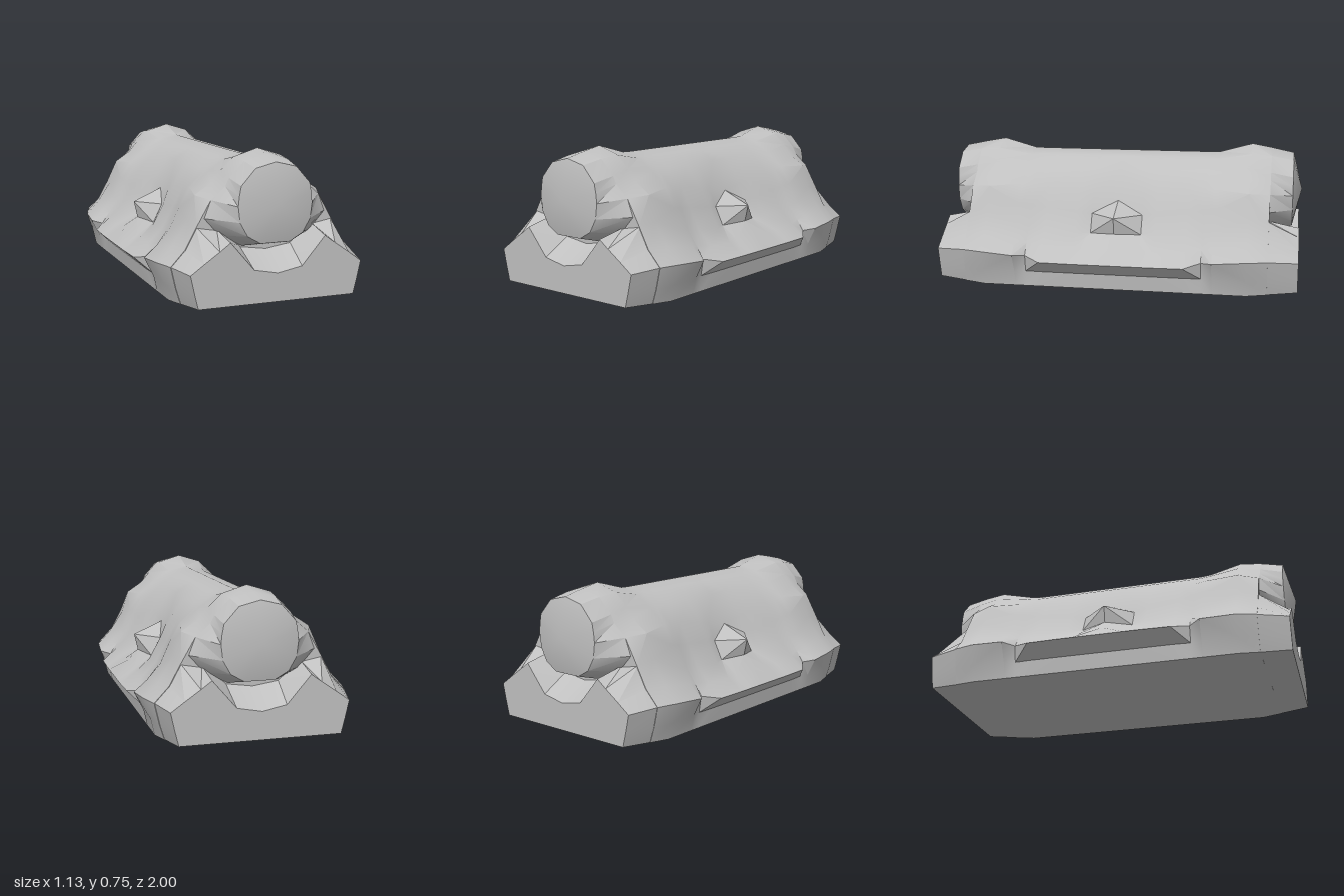
import * as THREE from 'three';
import { toCreasedNormals } from 'three/addons/utils/BufferGeometryUtils.js';

// Lofts mirrored half-profiles (top centre round to the bottom edge) along z,
// closing each end with a fan to a centre point [y, z].
// rows: [z, [[x, y], ...]] in ascending z.
function loft(rows, startCap, endCap) {
  const rings = rows.map(([z, half]) => {
    const right = half.map(([x, y]) => [x, y, z]);
    const left = half.slice(1).reverse().map(([x, y]) => [-x, y, z]);
    return [...right, ...left];
  });
  const pos = [];
  const tri = (...pts) => pts.forEach((p) => pos.push(...p));
  const n = rings[0].length;
  const first = rings[0];
  const last = rings[rings.length - 1];
  for (let j = 0; j < n; j++) {
    const k = (j + 1) % n;
    for (let i = 0; i < rings.length - 1; i++) {
      const a = rings[i], b = rings[i + 1];
      // Diagonals mirror across x = 0 and z = 0
      if ((a[0][2] + b[0][2] < 0) !== (j > (n - 1) / 2)) {
        tri(a[j], b[j], a[k]);
        tri(b[j], b[k], a[k]);
      } else {
        tri(a[j], b[j], b[k]);
        tri(a[j], b[k], a[k]);
      }
    }
    tri([0, ...startCap], first[j], first[k]);
    tri([0, ...endCap], last[k], last[j]);
  }
  const geo = new THREE.BufferGeometry();
  geo.setAttribute('position', new THREE.Float32BufferAttribute(pos, 3));
  return toCreasedNormals(geo, 0.5);
}

export function createModel() {
  const group = new THREE.Group();
  const stone = new THREE.MeshStandardMaterial({ color: 0xc0c0c0 });
  stone.name = 'pale grey';

  const add = (parent, geo, name) => {
    const mesh = new THREE.Mesh(geo, stone);
    mesh.name = name;
    parent.add(mesh);
  };

  // Body sections from the middle to one end, each sharing the same ridge lines
  const ridge = [[0, 0.703], [0.1, 0.68], [0.19, 0.62]];
  const skirt = [[0.565, 0.16], [0.49, 0.09], [0.48, 0.005]];
  const sections = [
    // side spike and the dished pocket around it
    [0, [...ridge, [0.28, 0.46], [0.44, 0.39], [0.42, 0.3], [0.48, 0.24], ...skirt]],
    [0.14, [...ridge, [0.28, 0.48], [0.32, 0.39], [0.37, 0.29], [0.47, 0.22], ...skirt]],
    [0.22, [...ridge, [0.28, 0.5], [0.34, 0.4], [0.4, 0.29], [0.48, 0.22], ...skirt]],
    [0.39, [...ridge, [0.28, 0.53], [0.34, 0.42], [0.4, 0.31], [0.48, 0.23],
      [0.56, 0.16], [0.49, 0.09], [0.48, 0.005]]],
    // notch between the middle skirt and the end block
    [0.48, [...ridge, [0.29, 0.535], [0.35, 0.43], [0.4, 0.32], [0.46, 0.24],
      [0.5, 0.18], [0.485, 0.09], [0.48, 0.005]]],
    [0.54, [[0, 0.705], [0.11, 0.68], [0.2, 0.62], [0.3, 0.54], [0.36, 0.44], [0.41, 0.33],
      [0.48, 0.25], [0.55, 0.19], [0.5, 0.09], [0.48, 0.005]]],
    [0.72, [[0, 0.755], [0.13, 0.715], [0.2, 0.65], [0.25, 0.59], [0.34, 0.53], [0.38, 0.4],
      [0.46, 0.28], [0.535, 0.2], [0.5, 0.09], [0.48, 0.005]]],
    [0.83, [[0, 0.735], [0.12, 0.705], [0.2, 0.625], [0.22, 0.585], [0.295, 0.52], [0.37, 0.39],
      [0.43, 0.28], [0.505, 0.2], [0.48, 0.09], [0.455, 0.01]]],
  ];
  const back = sections.slice(1).reverse().map(([z, half]) => [-z, half]);
  add(group, loft([...back, ...sections], [0.3, -0.83], [0.3, 0.83]), 'body');

  // Log end: tapers from the shoulders to a disc with a shallow cone face
  const logEnd = loft([
    [0.83, [[0, 0.735], [0.12, 0.705], [0.2, 0.625], [0.22, 0.585], [0.295, 0.52],
      [0.33, 0.43], [0.25, 0.34], [0.13, 0.28]]],
    [0.95, [[0, 0.71], [0.11, 0.683], [0.185, 0.6], [0.195, 0.55], [0.2, 0.5],
      [0.19, 0.42], [0.15, 0.35], [0.08, 0.31]]],
  ], [0.5, 0.83], [0.505, 1]);

  // Low lip with a scooped hollow under the log end
  const lip = loft([
    [0.82, [[0, 0.26], [0.14, 0.28], [0.26, 0.37], [0.37, 0.39], [0.43, 0.28],
      [0.505, 0.2], [0.48, 0.09], [0.455, 0.01]]],
    [0.99, [[0, 0.165], [0.13, 0.19], [0.255, 0.335], [0.31, 0.295], [0.39, 0.24],
      [0.46, 0.19], [0.44, 0.1], [0.42, 0.02]]],
  ], [0.02, 0.82], [0.025, 0.99]);

  for (const [name, turn] of [['frontEnd', 0], ['backEnd', Math.PI]]) {
    const end = new THREE.Group();
    end.name = name;
    end.rotation.y = turn;
    add(end, logEnd, 'logEnd');
    add(end, lip, 'lip');
    group.add(end);
  }
  return group;
}
